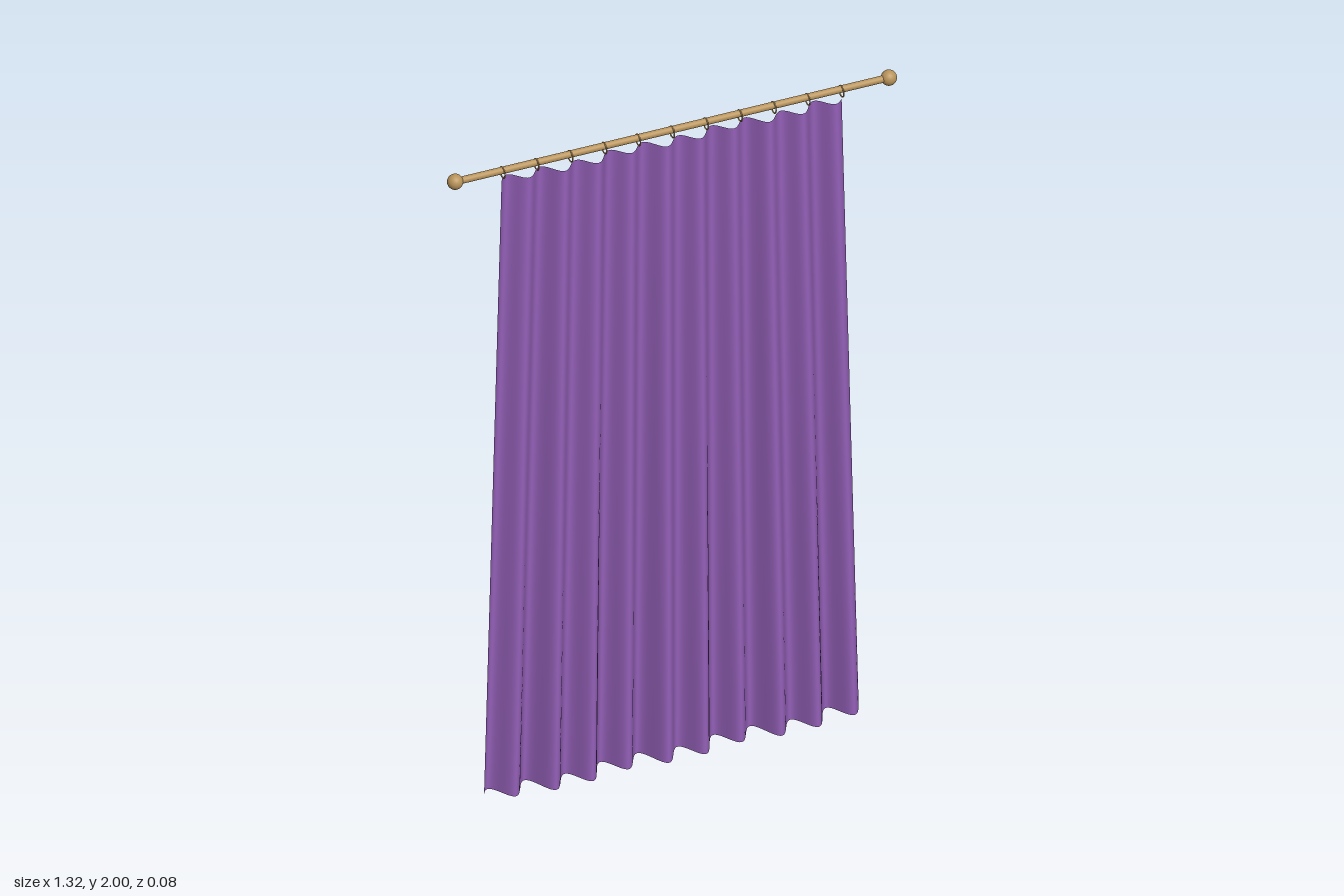
import * as THREE from 'three';

export function createModel() {
  const model = new THREE.Group();

  const fabric = new THREE.MeshStandardMaterial({ color: 0x9460b8, side: THREE.DoubleSide });
  fabric.name = 'purple fabric';
  const brass = new THREE.MeshStandardMaterial({ color: 0xb8935a });
  brass.name = 'brass';

  const add = (name, geometry, material, x, y, z, parent = model) => {
    const mesh = new THREE.Mesh(geometry, material);
    mesh.name = name;
    mesh.position.set(x, y, z);
    parent.add(mesh);
    return mesh;
  };

  // Curtain: a sheet with ten folds, every third one shallower, flaring towards the hem
  const height = 1.945, folds = 10;
  const sheet = new THREE.PlaneGeometry(1, height, 240, 16);
  const p = sheet.attributes.position;
  for (let i = 0; i < p.count; i++) {
    const u = p.getX(i) + 0.5;
    const drop = 0.5 - p.getY(i) / height;
    const t = u * folds * Math.PI * 2;
    const wave = 0.035 * Math.sin(t) + 0.01 * Math.sin(t / 3);
    const width = THREE.MathUtils.lerp(1.006, 1.11, drop);
    const depth = THREE.MathUtils.lerp(0.6, 1, drop);
    p.setXYZ(i, (u - 0.5) * width, height * (1 - drop), -wave * depth);
  }
  sheet.computeVertexNormals();
  add('curtain', sheet, fabric, 0, 0, 0);

  // Rod with a ball finial at each end
  const rodY = 1.978;
  const rod = new THREE.CylinderGeometry(0.01, 0.01, 1.28, 20).rotateZ(Math.PI / 2);
  add('rod', rod, brass, 0, rodY, 0);
  const ball = new THREE.SphereGeometry(0.022, 24, 16);
  add('rightFinial', ball, brass, -0.64, rodY, 0);
  add('leftFinial', ball, brass, 0.64, rodY, 0);

  // Rings hanging from the rod, one per fold
  const rings = new THREE.Group();
  rings.name = 'rings';
  model.add(rings);
  const ring = new THREE.TorusGeometry(0.016, 0.002, 8, 24).rotateY(Math.PI / 2);
  for (let i = 0; i <= folds; i++) add('ring', ring, brass, -0.5 + i / folds, 1.971, 0, rings);

  return model;
}
